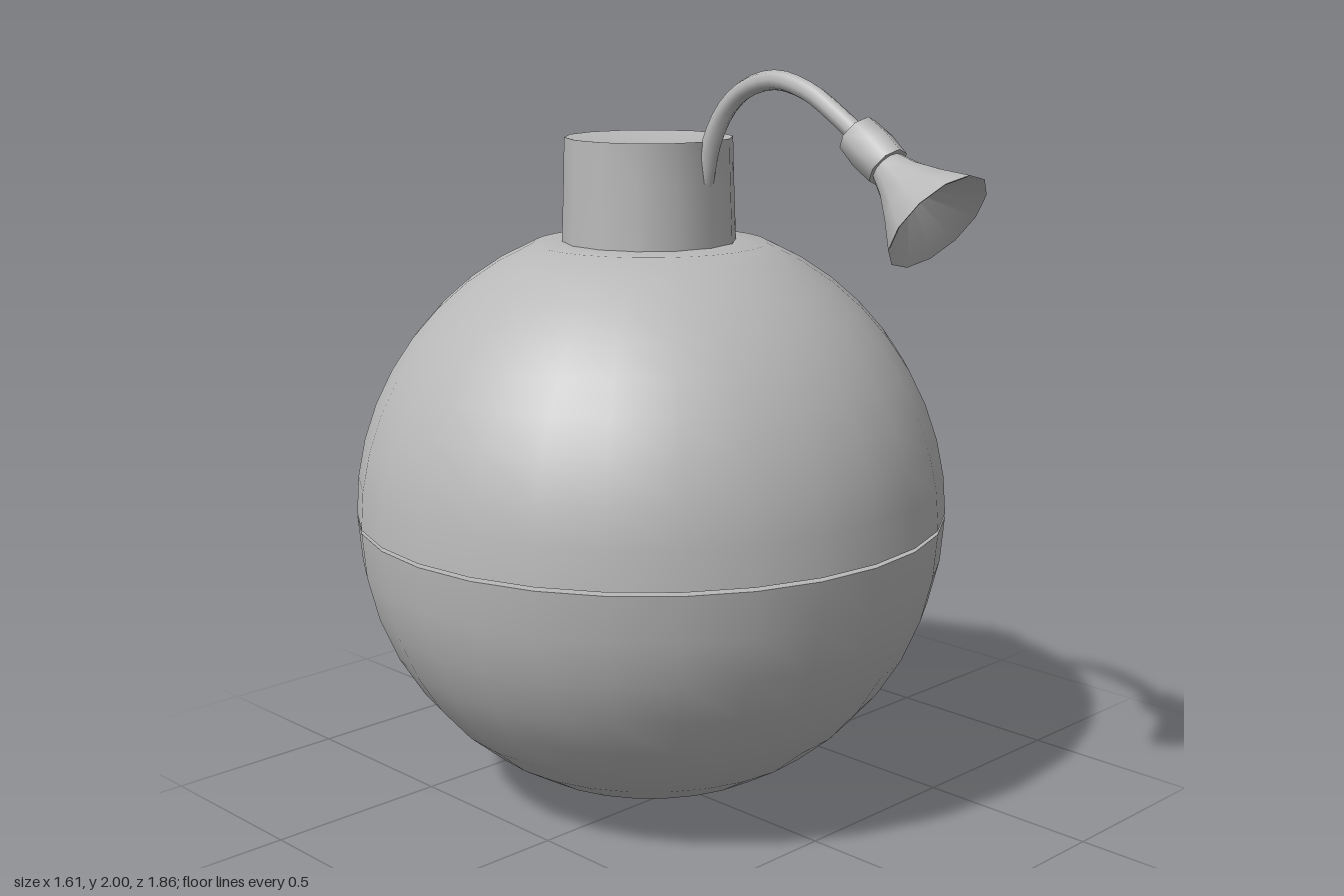
import * as THREE from 'three';
import { toCreasedNormals } from 'three/addons/utils/BufferGeometryUtils.js';

const CENTER_Z = -0.12;   // axis of the round body
const R = 0.805;          // body radius
const MID = 0.797;        // seam height

export function createModel() {
  const group = new THREE.Group();
  const grey = new THREE.MeshStandardMaterial({ color: 0xb8b8b8, side: THREE.DoubleSide });
  grey.name = 'plain grey';

  const add = (name, geometry, parent = group) => {
    const mesh = new THREE.Mesh(geometry, grey);
    mesh.name = name;
    parent.add(mesh);
    return mesh;
  };
  // Revolve [radius, height] pairs, keeping hard edges sharp
  const lathe = (pairs, sides, crease = 0.6) =>
    toCreasedNormals(new THREE.LatheGeometry(pairs.map(([r, y]) => new THREE.Vector2(r, y)), sides), crease);

  // Sphere profile between two latitudes (radians)
  const arc = (from, to, steps) => Array.from({ length: steps + 1 }, (_, i) => {
    const a = from + (to - from) * i / steps;
    return [Math.max(0, R * Math.cos(a)), MID + (R - 0.007) * Math.sin(a)];
  });

  // Two half shells with a fine open seam between them
  const lower = [...arc(-Math.PI / 2, -0.006, 10), [0.77, MID - 0.005]];
  const upper = [[0.77, MID + 0.005], ...arc(0.006, 1.17, 9), [0.23, 1.535], [0.15, 1.54]];
  add('lowerShell', lathe(lower, 28)).position.z = CENTER_Z;
  add('upperShell', lathe(upper, 28)).position.z = CENTER_Z;

  // Short collar with a slightly dished cap
  const collar = [[0.236, 1.5], [0.234, 1.54], [0.228, 1.7], [0.225, 1.81], [0.205, 1.808], [0, 1.79]];
  add('collar', lathe(collar, 14)).position.z = -0.125;

  // Curved fuse rising from the front edge of the collar
  const path = new THREE.CatmullRomCurve3([
    [1.7, 0.08], [1.8, 0.105], [1.89, 0.155], [1.95, 0.23], [1.975, 0.33],
    [1.95, 0.44], [1.9, 0.53], [1.84, 0.62],
  ].map(([y, z]) => new THREE.Vector3(0, y, z)));
  add('fuse', new THREE.TubeGeometry(path, 20, 0.025, 8));

  // Socket and flared bell at the fuse tip, aimed forward and down
  const tip = new THREE.Group();
  tip.name = 'fuseTip';
  tip.position.set(0, 1.857, 0.597);
  tip.quaternion.setFromUnitVectors(
    new THREE.Vector3(0, 1, 0), new THREE.Vector3(0, -0.189, 0.249).normalize());
  group.add(tip);
  add('socket', lathe([[0, 0], [0.054, 0], [0.06, 0.06], [0.056, 0.12], [0, 0.12]], 8, 0.9), tip);
  add('bell', lathe([[0.042, 0.115], [0.062, 0.17], [0.1, 0.24], [0.145, 0.313], [0.138, 0.311], [0, 0.2]], 12), tip);

  return group;
}
